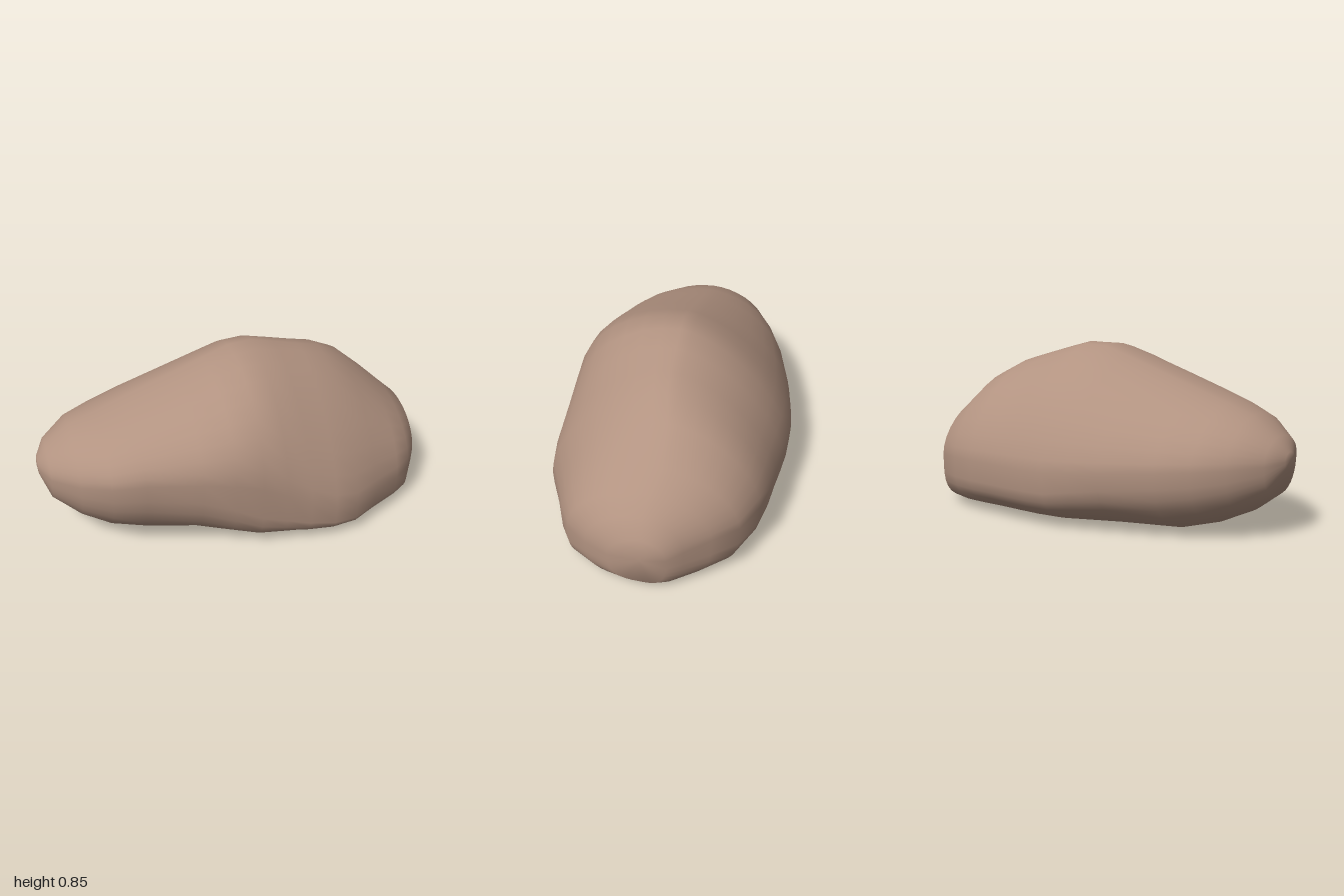
import * as THREE from 'three';

// Cross-sections along x:
// x, top, bottom, front z, back z, height of widest front, of widest back, upper front exponent
const SECTIONS = [
  [-0.995, 0.39, 0.31, 0.05, -0.05, 0.35, 0.35, 1],
  [-0.95, 0.46, 0.19, 0.17, -0.17, 0.36, 0.34, 1],
  [-0.83, 0.55, 0.10, 0.30, -0.30, 0.38, 0.33, 1],
  [-0.70, 0.60, 0.04, 0.39, -0.38, 0.40, 0.32, 1],
  [-0.55, 0.655, 0.0, 0.44, -0.445, 0.42, 0.31, 1],
  [-0.30, 0.745, 0.0, 0.51, -0.52, 0.42, 0.29, 1],
  [-0.15, 0.80, 0.0, 0.54, -0.55, 0.40, 0.28, 0.98],
  [-0.02, 0.845, 0.0, 0.55, -0.57, 0.36, 0.27, 0.98],
  [0.10, 0.85, 0.0, 0.555, -0.57, 0.30, 0.27, 1.05],
  [0.22, 0.82, 0.0, 0.565, -0.56, 0.23, 0.27, 1.13],
  [0.35, 0.785, 0.0, 0.57, -0.545, 0.18, 0.27, 1.22],
  [0.47, 0.75, 0.0, 0.55, -0.535, 0.16, 0.27, 1.25],
  [0.60, 0.68, 0.0, 0.48, -0.51, 0.16, 0.27, 1.2],
  [0.75, 0.55, 0.0, 0.41, -0.44, 0.17, 0.26, 1.1],
  [0.84, 0.47, 0.0, 0.35, -0.33, 0.18, 0.25, 1.05],
  [0.92, 0.40, 0.005, 0.24, -0.22, 0.19, 0.23, 1],
  [0.97, 0.31, 0.05, 0.12, -0.15, 0.19, 0.21, 1],
];
const AROUND = 36;

// One ring of superelliptic quarters: front-top, back-top, back-bottom, front-bottom
function ring([x, top, bottom, front, back, yFront, yBack, pFront]) {
  const mid = (front + back) / 2 - 0.1 * (front - back) * Math.max(0, x);
  // the underside is chamfered towards the left-hand tip and squarer elsewhere
  const taper = THREE.MathUtils.clamp(-2.5 * x, 0, 1);
  const lowerFront = x > 0.9 ? 0.65 : 0.4 + 0.5 * taper;
  const lowerBack = x > 0.9 ? 0.65 : 0.56 + 0.24 * taper;
  const upperBack = 1 + 0.3 * (1 - x * x);
  const points = [];
  for (let i = 0; i < AROUND; i++) {
    const a = (i / AROUND) * Math.PI * 2;
    const c = Math.cos(a), s = Math.sin(a);
    const isFront = c >= 0, isUpper = s >= 0;
    const p = isUpper ? (isFront ? pFront : upperBack) : (isFront ? lowerFront : lowerBack);
    const side = isFront ? front : back;
    const yWide = isFront ? yFront : yBack;
    const yEnd = isUpper ? top : bottom;
    points.push(
      x,
      yWide + (yEnd - yWide) * Math.pow(Math.abs(s), p),
      mid + (side - mid) * Math.pow(Math.abs(c), p),
    );
  }
  return points;
}

function loftRock() {
  const positions = SECTIONS.flatMap(ring);
  const index = [];
  const last = SECTIONS.length - 1;
  const tipStart = SECTIONS.length * AROUND, tipEnd = tipStart + 1;
  positions.push(-1, 0.355, 0, 1, 0.22, -0.04);
  for (let j = 0; j < AROUND; j++) {
    const k = (j + 1) % AROUND;
    for (let i = 0; i < last; i++) {
      const a = i * AROUND + j, b = i * AROUND + k;
      index.push(a, a + AROUND, b, b, a + AROUND, b + AROUND);
    }
    // closed ends
    index.push(tipStart, j, k);
    index.push(tipEnd, last * AROUND + k, last * AROUND + j);
  }
  const geometry = new THREE.BufferGeometry();
  geometry.setAttribute('position', new THREE.Float32BufferAttribute(positions, 3));
  geometry.setIndex(index);
  geometry.computeVertexNormals();
  return geometry;
}

export function createModel() {
  const group = new THREE.Group();
  group.name = 'boulder';
  const material = new THREE.MeshStandardMaterial({ color: 0xb29381 });
  const rock = new THREE.Mesh(loftRock(), material);
  rock.name = 'rock';
  group.add(rock);
  return group;
}
